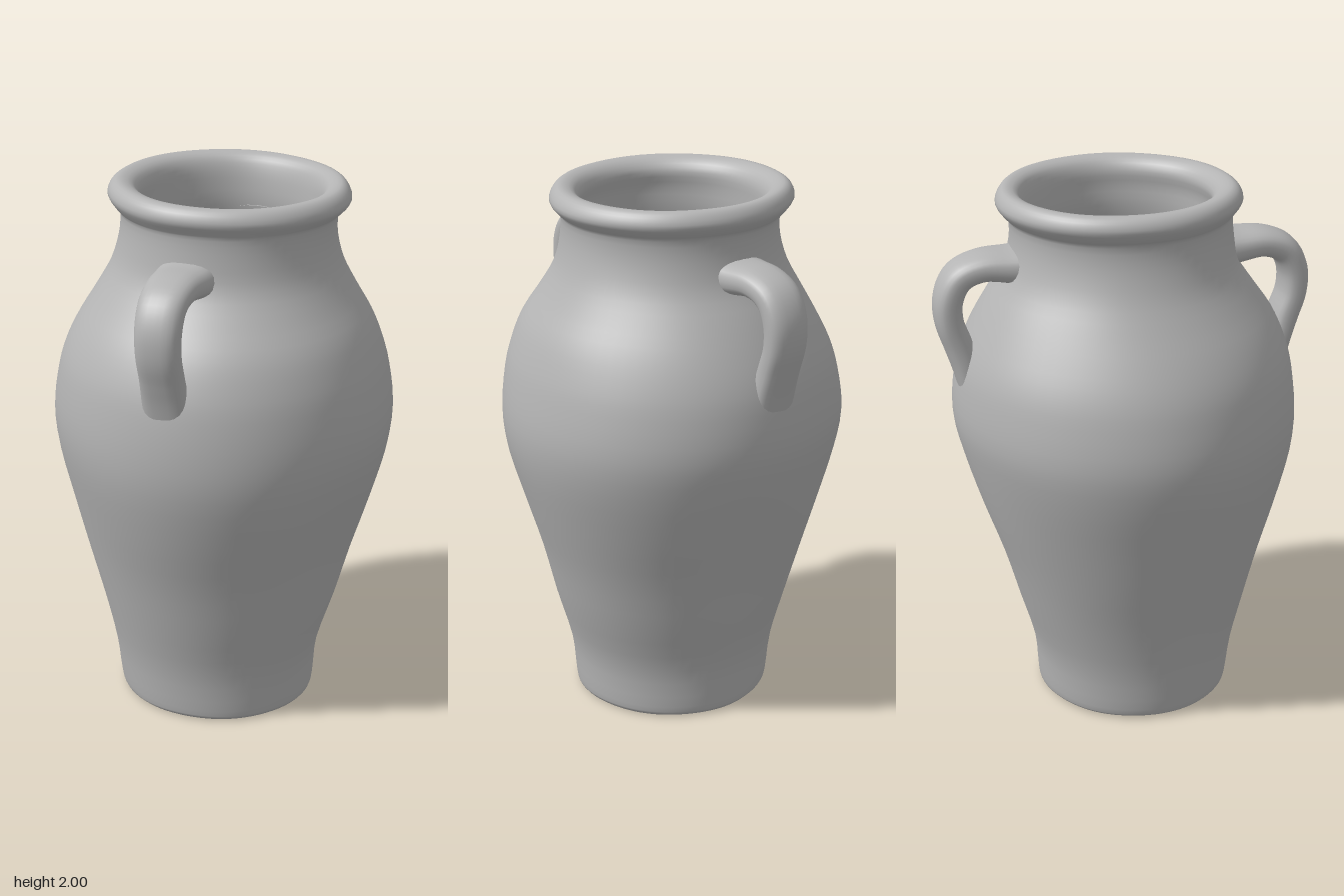
import * as THREE from 'three';

// Smooth surface through rings; point(i, a) gives the vertex of ring i at angle a.
function loft(rings, sides, point) {
  const pos = [], idx = [];
  for (let i = 0; i < rings; i++)
    for (let j = 0; j < sides; j++) {
      pos.push(...point(i, (j / sides) * Math.PI * 2));
      if (i === rings - 1) continue;
      const k = i * sides, n = (j + 1) % sides;
      idx.push(k + j, k + sides + j, k + n, k + n, k + sides + j, k + sides + n);
    }
  const g = new THREE.BufferGeometry();
  g.setAttribute('position', new THREE.Float32BufferAttribute(pos, 3));
  g.setIndex(idx);
  g.computeVertexNormals();
  return g;
}

// Outer wall: height, then reach to -x, +x, +z, -z (slightly uneven, hand-thrown)
const wall = [
  [0.04, 0.39, 0.355, 0.395, 0.335],
  [0.2, 0.41, 0.37, 0.415, 0.35],
  [0.4, 0.455, 0.43, 0.465, 0.41],
  [0.6, 0.51, 0.485, 0.515, 0.47],
  [0.8, 0.56, 0.55, 0.575, 0.54],
  [1.0, 0.61, 0.61, 0.625, 0.6],
  [1.15, 0.627, 0.627, 0.637, 0.63],
  [1.3, 0.605, 0.607, 0.625, 0.62],
  [1.4, 0.575, 0.58, 0.6, 0.595],
  [1.5, 0.525, 0.54, 0.555, 0.55],
  [1.6, 0.465, 0.48, 0.485, 0.495],
  [1.7, 0.41, 0.43, 0.42, 0.435],
  [1.8, 0.378, 0.405, 0.4, 0.41],
  [1.88, 0.372, 0.405, 0.395, 0.41],
];
const rim = [
  [1.905, 0.395, 0.425, 0.405, 0.43],
  [1.94, 0.42, 0.45, 0.427, 0.455],
  [1.975, 0.41, 0.438, 0.417, 0.445],
  [1.993, 0.38, 0.41, 0.388, 0.42],
  [1.98, 0.335, 0.367, 0.345, 0.38],
  [1.94, 0.31, 0.345, 0.32, 0.36],
];
const base = [
  [0, 0, 0, 0, 0],
  [0, 0.2, 0.19, 0.2, 0.18],
  [0, 0.34, 0.32, 0.355, 0.3],
  [0.008, 0.375, 0.345, 0.385, 0.325],
];

function vesselGeometry() {
  const inner = wall.slice(1).reverse().map(([y, ...r]) => [y, ...r.map((v) => v - 0.06)]);
  const floor = [0.33, 0.2, 0].map((r, i) => [0.09 - i * 0.015, r, r, r, r]);
  const rows = [...base, ...wall, ...rim, ...inner, ...floor];
  const curve = (f) => new THREE.CatmullRomCurve3(rows.map(f), false, 'catmullrom', 0.5);
  const size = curve(([y, l, r, f, b]) => new THREE.Vector3((l + r) / 2, y, (f + b) / 2));
  const centre = curve(([y, l, r, f, b]) => new THREE.Vector3((r - l) / 2, y, (f - b) / 2));
  const rings = (rows.length - 1) * 3 + 1;
  return loft(rings, 72, (i, a) => {
    const s = size.getPoint(i / (rings - 1)), c = centre.getPoint(i / (rings - 1));
    const k = 1 + 0.005 * Math.sin(3 * a + 4 * s.y) + 0.003 * Math.sin(7 * a - 6 * s.y);
    const tilt = s.y > 1.85 ? -0.02 * Math.cos(a) * s.x * Math.min(1, (s.y - 1.85) * 12) : 0;
    return [c.x + Math.cos(a) * s.x * k, Math.max(0, s.y + tilt), c.z + Math.sin(a) * s.z * k];
  });
}

// Strap handle: height, depth, half width, half thickness along its path
function handleGeometry() {
  const path = [
    [1.73, 0.34, 0.115, 0.075],
    [1.735, 0.42, 0.105, 0.06],
    [1.738, 0.52, 0.092, 0.052],
    [1.705, 0.602, 0.085, 0.052],
    [1.63, 0.642, 0.082, 0.052],
    [1.54, 0.643, 0.08, 0.051],
    [1.45, 0.614, 0.08, 0.052],
    [1.37, 0.59, 0.083, 0.05],
    [1.26, 0.565, 0.085, 0.045],
  ];
  const line = new THREE.CatmullRomCurve3(path.map(([y, z]) => new THREE.Vector3(0, y, z)), false, 'catmullrom', 0.5);
  const size = new THREE.CatmullRomCurve3(path.map(([, , w, t]) => new THREE.Vector3(w, t, 0)), false, 'catmullrom', 0.5);
  const rings = 41, side = new THREE.Vector3(1, 0, 0);
  const soft = (v) => Math.sign(v) * Math.abs(v) ** 0.8;
  return loft(rings, 24, (i, a) => {
    const u = i / (rings - 1), p = line.getPoint(u), s = size.getPoint(u);
    const n = side.clone().cross(line.getTangent(u));
    p.addScaledVector(n, soft(Math.sin(a)) * s.y);
    return [soft(Math.cos(a)) * s.x, p.y, p.z];
  });
}

export function createModel() {
  const model = new THREE.Group();
  model.name = 'jar';
  const clay = new THREE.MeshStandardMaterial({ color: 0xb4b4b4 });
  clay.name = 'grey clay';

  const vessel = new THREE.Mesh(vesselGeometry(), clay);
  vessel.name = 'vessel';
  model.add(vessel);

  // Matching handles on the front and the back
  const geometry = handleGeometry();
  ['frontHandle', 'backHandle'].forEach((name, i) => {
    const handle = new THREE.Mesh(geometry, clay);
    handle.name = name;
    handle.rotation.y = i * Math.PI;
    model.add(handle);
  });
  return model;
}
